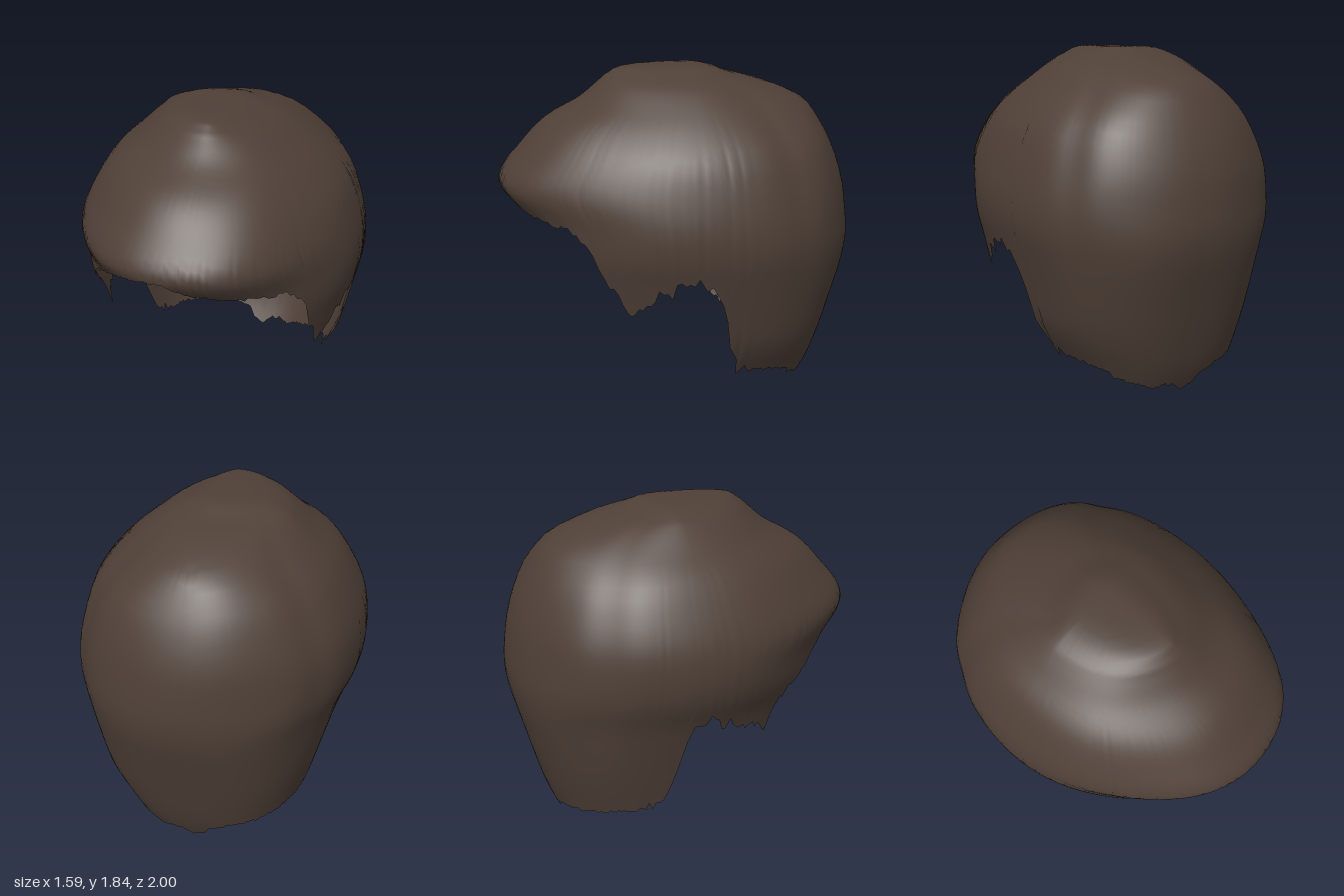
import * as THREE from 'three';

// Horizontal sections from crown to nape: y, min x, max x, front z, back z
const SECTIONS = [
  [1.837, 0.02, 0.02, -0.1, -0.1],
  [1.83, -0.2, 0.12, 0.27, -0.22],
  [1.79, -0.33, 0.23, 0.37, -0.33],
  [1.74, -0.4, 0.34, 0.43, -0.53],
  [1.65, -0.5, 0.46, 0.54, -0.74],
  [1.54, -0.62, 0.58, 0.73, -0.83],
  [1.4, -0.71, 0.69, 0.87, -0.905],
  [1.22, -0.785, 0.755, 1.0, -0.965],
  [1.05, -0.8, 0.79, 0.88, -0.99],
  [0.9, -0.775, 0.785, 0.85, -1.0],
  [0.75, -0.71, 0.75, 0.81, -0.98],
  [0.55, -0.65, 0.7, 0.78, -0.925],
  [0.35, -0.595, 0.645, 0.75, -0.87],
  [0.15, -0.54, 0.53, 0.7, -0.81],
  [0, -0.5, 0.45, 0.65, -0.74],
];

// Hem height by angle from the front: fringe, sideburn, ear notch, nape
const SIDEBURN = [[57, 0.82], [64, 0.6], [70, 0.65], [77, 0.71], [84, 0.75], [89, 0.79]];
const HEM_LEFT = [
  [0, 1.19], [7, 1.12], [20, 1.08], [45, 1.04], [52, 0.96], ...SIDEBURN,
  [94, 0.76], [97, 0.62], [99, 0.4], [103.5, 0.2], [133, 0.15], [138, 0.1],
  [161, 0.045], [176, 0.05], [180, 0.01],
];
const HEM_RIGHT = [
  [0, 1.19], [10, 1.18], [22, 1.13], [34, 1.06], [41, 1.0], [50, 0.9], ...SIDEBURN,
  [93, 0.75], [95, 0.6], [97, 0.36], [102, 0.2], [140, 0.16], [161, 0.13],
  [172, 0.1], [175, 0.03], [180, 0.01],
];

const CX = 0.02, CZ = -0.1; // axis the sections are swept around
const COLUMNS = 240, ROWS = 32;

function lookup(table, a) {
  let i = 1;
  while (i < table.length - 1 && table[i][0] < a) i++;
  const [a0, v0] = table[i - 1], [a1, v1] = table[i];
  return THREE.MathUtils.lerp(v0, v1, (a - a0) / (a1 - a0));
}

function seeded(seed) {
  return () => {
    seed = (seed * 16807) % 2147483647;
    return seed / 2147483647;
  };
}

// Squareness of a section quadrant: 1 is an ellipse, less is boxier
function roundness(isLeft, isFront, y) {
  if (isFront) return 1;
  const nape = 1 - THREE.MathUtils.smoothstep(y, 0.3, 1.1);
  const crown = THREE.MathUtils.smoothstep(y, 1.45, 1.75);
  const side = THREE.MathUtils.lerp(isLeft ? 0.88 : 0.98, 1.12, crown);
  return THREE.MathUtils.lerp(side, 0.8, nape);
}

function hairGeometry() {
  const spline = new THREE.CubicInterpolant(
    SECTIONS.map((_, i) => i), SECTIONS.flat(), 5, new Float32Array(5));
  const last = SECTIONS.length - 1;

  // Section parameter at which the surface reaches height y
  const paramAt = (y) => {
    let lo = 0, hi = last;
    for (let k = 0; k < 24; k++) {
      const mid = (lo + hi) / 2;
      if (spline.evaluate(mid)[0] > y) lo = mid; else hi = mid;
    }
    return lo;
  };

  const random = seeded(71);
  const positions = [CX, SECTIONS[0][0], CZ];
  const index = [];

  for (let c = 0; c < COLUMNS; c++) {
    const angle = -Math.PI + (c / COLUMNS) * Math.PI * 2;
    const deg = Math.abs(THREE.MathUtils.radToDeg(angle));
    const sin = Math.sin(angle), cos = Math.cos(angle);
    const isLeft = sin > 0, isFront = cos > 0;

    // Ragged tips, longest on the sideburns and behind the ears
    const ragged = deg > 55 && deg < 108 ? 0.09 : 0.025;
    const hem = Math.max(0, lookup(isLeft ? HEM_LEFT : HEM_RIGHT, deg) + (random() - 0.5) * ragged);
    const end = paramAt(hem);

    for (let r = 1; r <= ROWS; r++) {
      const s = end * r / ROWS;
      const [y, minX, maxX, front, back] = spline.evaluate(s);
      // Soft locks and a groove behind each ear
      const fade = Math.sin(Math.PI * Math.min(1, s / 11));
      const relief = 1 + fade * (0.006 * Math.sin(angle * 7 + s * 0.6)
        - 0.02 * Math.exp(-(((deg - 126) / 8) ** 2)));
      const p = roundness(isLeft, isFront, y);
      // The brow leans slightly to the left
      const lean = isFront ? 0.025 * cos * cos * Math.min(1, s / 7) : 0;
      const sx = Math.sign(sin) * Math.abs(sin) ** p;
      const sz = Math.sign(cos) * Math.abs(cos) ** p;
      const x = CX + lean + sx * relief * (isLeft ? maxX - CX : CX - minX);
      const z = CZ + sz * relief * (isFront ? front - CZ : CZ - back);
      positions.push(x, y, z);
    }

    // Faces joining this column to the next
    const a = 1 + c * ROWS, b = 1 + ((c + 1) % COLUMNS) * ROWS;
    index.push(0, a, b);
    for (let r = 0; r < ROWS - 1; r++) {
      index.push(a + r, a + r + 1, b + r + 1, a + r, b + r + 1, b + r);
    }
  }

  const geometry = new THREE.BufferGeometry();
  geometry.setAttribute('position', new THREE.Float32BufferAttribute(positions, 3));
  geometry.setIndex(index);
  geometry.computeVertexNormals();
  return geometry;
}

export function createModel() {
  const group = new THREE.Group();
  group.name = 'hairpiece';

  const brownHair = new THREE.MeshStandardMaterial({ color: 0x4f4037, side: THREE.DoubleSide });
  brownHair.name = 'brown hair';

  const hair = new THREE.Mesh(hairGeometry(), brownHair);
  hair.name = 'hair shell';
  group.add(hair);
  return group;
}
